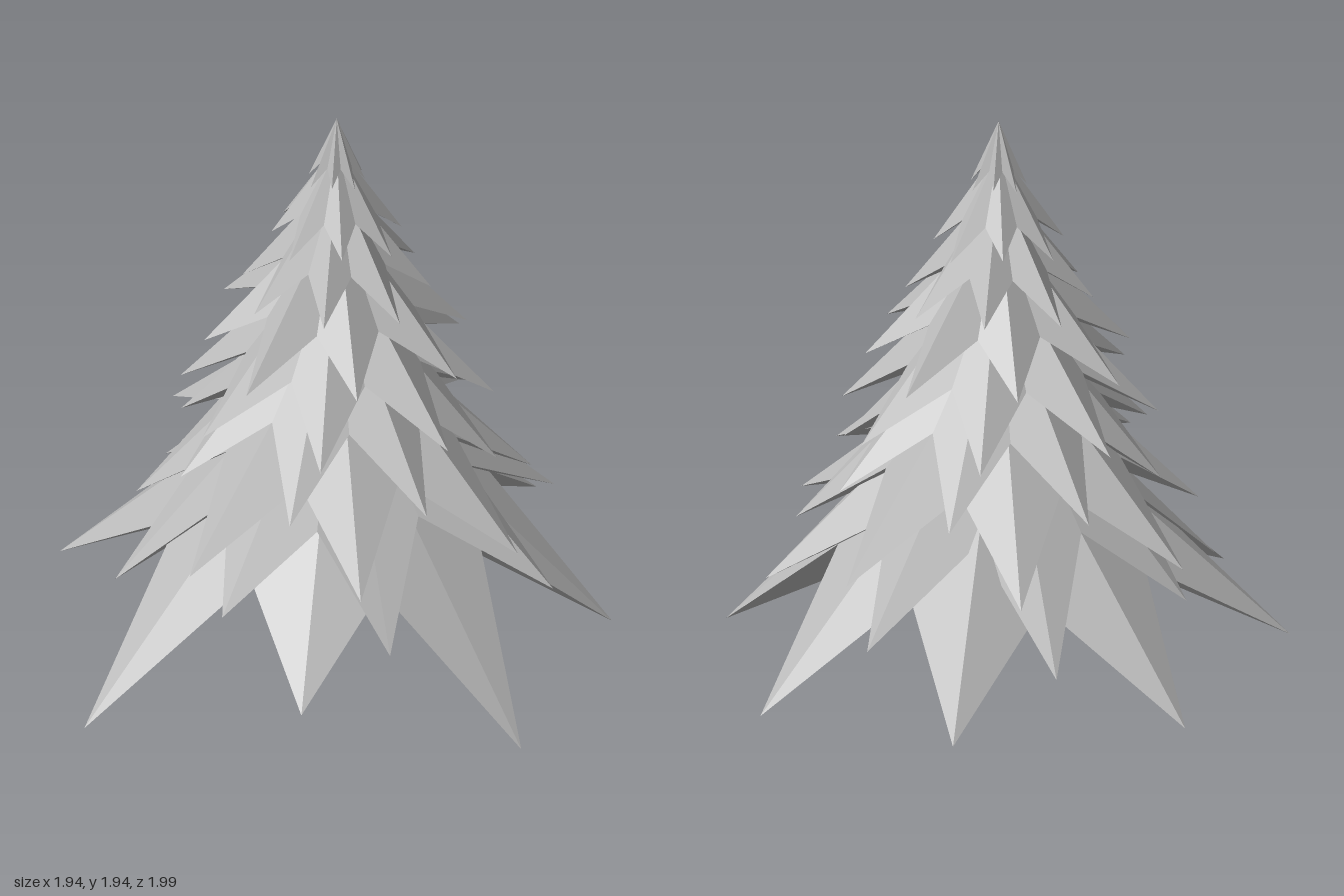
import * as THREE from 'three';

const CX = -0.01, CZ = -0.05; // trunk axis
const TIPS = 8;

// Broad star skirt: raised apex, drooping tips, shallow valleys, closed hollow underside.
// radii and heights are cycled around the tips.
function starTier({ apex, valleyR, valleyY, phase, radii, heights }) {
  const at = (step, r, y) => {
    const a = THREE.MathUtils.degToRad(phase + (step * 360) / TIPS);
    return [CX + Math.cos(a) * r, y, CZ + Math.sin(a) * r];
  };
  const ring = [];
  for (let i = 0; i < TIPS; i++) {
    ring.push(at(i, radii[i % radii.length], heights[i % heights.length]));
    ring.push(at(i + 0.5, valleyR, valleyY));
  }
  const top = [CX, apex, CZ], under = [CX, valleyY + 0.05, CZ];
  const pos = [];
  ring.forEach((p, i) => {
    const q = ring[(i + 1) % ring.length];
    pos.push(...top, ...q, ...p, ...under, ...p, ...q);
  });
  const g = new THREE.BufferGeometry();
  g.setAttribute('position', new THREE.Float32BufferAttribute(pos, 3));
  g.computeVertexNormals();
  return g;
}

export function createModel() {
  const tree = new THREE.Group();
  tree.name = 'firTree';
  const grey = new THREE.MeshStandardMaterial({ color: 0xb8b8b8, flatShading: true });
  grey.name = 'lightGrey';

  // Trunk
  const trunk = new THREE.Mesh(new THREE.CylinderGeometry(0.04, 0.05, 0.9, 6), grey);
  trunk.position.set(CX, 0.71, CZ);
  trunk.name = 'trunk';
  tree.add(trunk);

  // Branch tiers from bottom to top; the two lowest are the most irregular
  const tiers = [
    { apex: 1.05, valleyR: 0.56, valleyY: 0.5, phase: 12,
      radii: [1, 0.86, 1.065, 1.01, 0.98, 0.98, 0.97, 0.99],
      heights: [0.04, 0.24, 0, 0.15, 0.2, 0.26, 0.11, 0.04] },
    { apex: 1.17, valleyR: 0.45, valleyY: 0.67, phase: -10,
      radii: [0.84, 0.7, 0.73, 0.79, 0.72, 0.76, 0.8, 0.81],
      heights: [0.42, 0.34, 0.46, 0.28, 0.42, 0.35, 0.42, 0.4] },
    { apex: 1.28, valleyR: 0.42, valleyY: 0.82, phase: -2, radii: [0.76, 0.69], heights: [0.6, 0.57] },
    { apex: 1.4, valleyR: 0.34, valleyY: 0.98, phase: 20, radii: [0.59, 0.56], heights: [0.78, 0.76] },
    { apex: 1.52, valleyR: 0.31, valleyY: 1.14, phase: 10, radii: [0.56, 0.53], heights: [0.98, 0.96] },
    { apex: 1.64, valleyR: 0.26, valleyY: 1.3, phase: -4, radii: [0.48, 0.44], heights: [1.16, 1.17] },
    { apex: 1.75, valleyR: 0.18, valleyY: 1.47, phase: 12, radii: [0.33, 0.31], heights: [1.35, 1.36] },
    { apex: 1.85, valleyR: 0.13, valleyY: 1.63, phase: 0, radii: [0.23, 0.21], heights: [1.53, 1.55] },
    { apex: 1.94, valleyR: 0.055, valleyY: 1.79, phase: 14, radii: [0.1, 0.09], heights: [1.73, 1.74] },
  ];
  tiers.forEach((tier, i) => {
    const mesh = new THREE.Mesh(starTier(tier), grey);
    mesh.name = `branchTier${i + 1}`;
    tree.add(mesh);
  });
  return tree;
}
